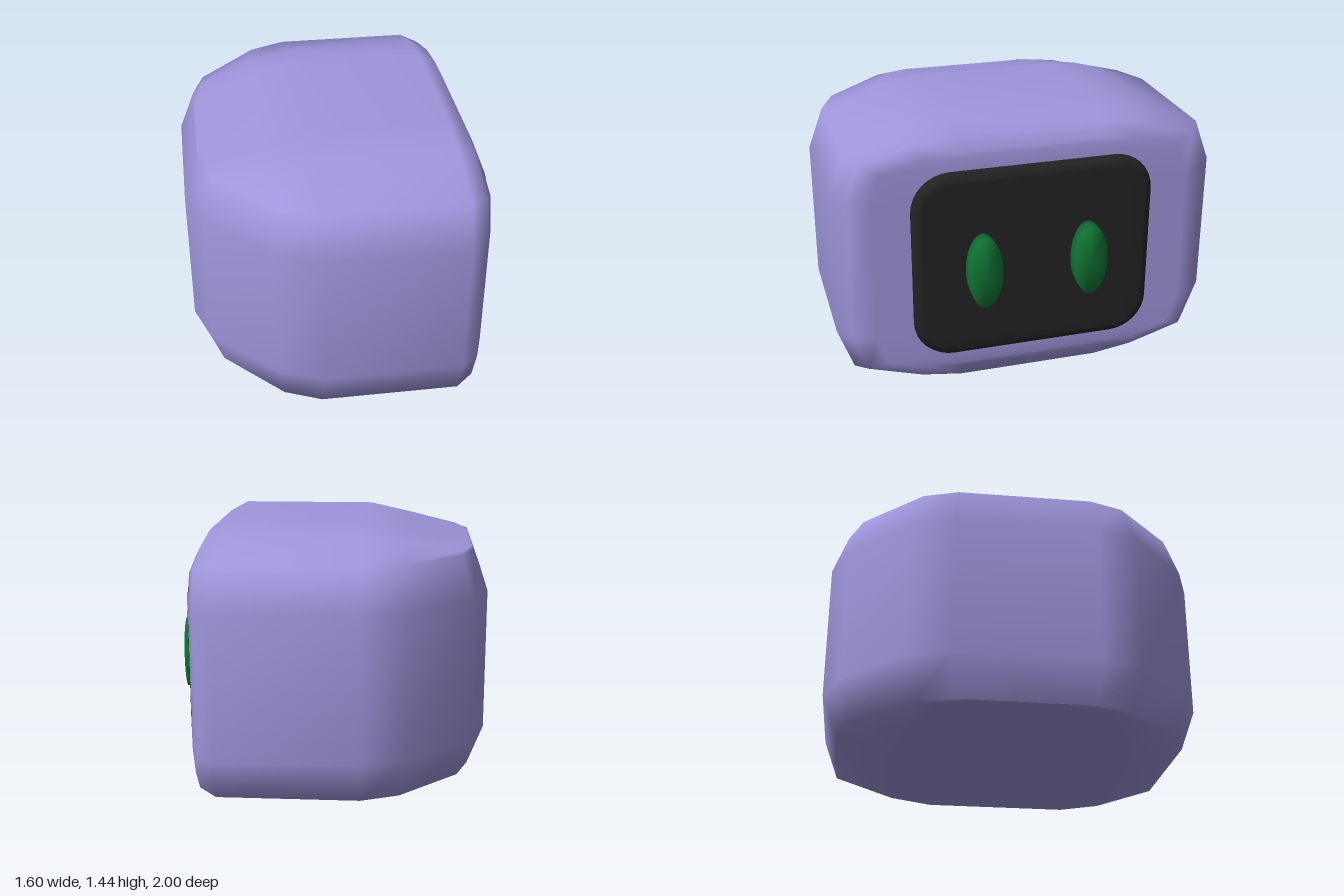
import * as THREE from 'three';
import { mergeVertices } from 'three/addons/utils/BufferGeometryUtils.js';

const MID_Y = 0.722;

// Weld all corners so that shading runs smoothly over the edges
function smooth(geometry) {
  geometry.deleteAttribute('normal');
  geometry.deleteAttribute('uv');
  const welded = mergeVertices(geometry, 1e-4);
  welded.computeVertexNormals();
  return welded;
}

// Quarter sections from face to back: four [x, half width, half height] points, top to side
const SECTIONS = [
  [[0.68, 0.36, 0.595], [0.68, 0.56, 0.575], [0.68, 0.76, 0.52], [0.68, 0.82, 0.36]],
  [[0.64, 0.37, 0.675], [0.64, 0.58, 0.645], [0.64, 0.86, 0.56], [0.64, 0.93, 0.37]],
  [[0.55, 0.38, 0.722], [0.55, 0.6, 0.69], [0.55, 0.92, 0.585], [0.55, 1, 0.37]],
  [[-0.17, 0.38, 0.722], [-0.17, 0.6, 0.69], [-0.17, 0.92, 0.585], [-0.17, 1, 0.37]],
  [[-0.39, 0.37, 0.662], [-0.39, 0.58, 0.645], [-0.36, 0.84, 0.585], [-0.39, 0.91, 0.37]],
  [[-0.69, 0.3, 0.592], [-0.68, 0.43, 0.59], [-0.66, 0.53, 0.585], [-0.72, 0.59, 0.37]],
  [[-0.72, 0.12, 0.585], [-0.72, 0.24, 0.585], [-0.72, 0.35, 0.585], [-0.8, 0.37, 0.37]],
];

function shellGeometry() {
  const positions = [], index = [];
  const quad = (a, b, c, d) => index.push(a, b, c, a, c, d);
  const N = 16;
  for (const quarter of SECTIONS) {
    // Mirror the quarter into a closed loop
    const down = [...quarter, ...quarter.map(([x, z, h]) => [x, z, -h]).reverse()];
    const loop = [...down, ...down.map(([x, z, h]) => [x, -z, h]).reverse()];
    loop.forEach(([x, z, h]) => positions.push(x, MID_Y + h, z));
  }
  const last = (SECTIONS.length - 1) * N;
  for (let r = 0; r < last; r += N) {
    for (let i = 0; i < N; i++) {
      const j = (i + 1) % N;
      quad(r + i, r + N + i, r + N + j, r + j);
    }
  }
  // End caps, as strips between mirrored points
  for (let i = 0; i < 7; i++) {
    quad(i, i + 1, 14 - i, 15 - i);
    quad(last + 15 - i, last + 14 - i, last + i + 1, last + i);
  }
  const geometry = new THREE.BufferGeometry();
  geometry.setAttribute('position', new THREE.Float32BufferAttribute(positions, 3));
  geometry.setIndex(index);
  geometry.computeVertexNormals();
  return geometry;
}

// Rounded slab with a bevelled rim, facing +x
function screenGeometry() {
  const bevel = 0.04, w = 0.625 - bevel, h = 0.502 - bevel, r = 0.16;
  const shape = new THREE.Shape();
  shape.absarc(w - r, h - r, r, 0, Math.PI / 2);
  shape.absarc(-w + r, h - r, r, Math.PI / 2, Math.PI);
  shape.absarc(-w + r, -h + r, r, Math.PI, Math.PI * 1.5);
  shape.absarc(w - r, -h + r, r, Math.PI * 1.5, Math.PI * 2);
  const geometry = new THREE.ExtrudeGeometry(shape, {
    depth: 0.03, bevelEnabled: true, bevelSize: bevel, bevelThickness: bevel,
    bevelSegments: 2, curveSegments: 4,
  });
  geometry.rotateY(Math.PI / 2);
  return smooth(geometry);
}

export function createModel() {
  const purple = new THREE.MeshStandardMaterial({ name: 'purple shell', color: 0x9f96dc });
  const black = new THREE.MeshStandardMaterial({ name: 'black screen', color: 0x222222 });
  const green = new THREE.MeshStandardMaterial({ name: 'green eyes', color: 0x0f7433 });

  const group = new THREE.Group();
  group.name = 'robotHead';
  const add = (name, geometry, material, x, y, z) => {
    const mesh = new THREE.Mesh(geometry, material);
    mesh.name = name;
    mesh.position.set(x, y, z);
    group.add(mesh);
  };

  add('shell', shellGeometry(), purple, 0, 0, 0);
  add('screen', screenGeometry(), black, 0.66, 0.723, 0);

  // Upright oval eyes standing out from the screen
  const eye = smooth(new THREE.CylinderGeometry(1, 1, 0.1, 32).rotateZ(-Math.PI / 2).scale(1, 0.19, 0.088));
  add('rightEye', eye, green, 0.75, 0.71, 0.275);
  add('leftEye', eye, green, 0.75, 0.71, -0.275);
  return group;
}
